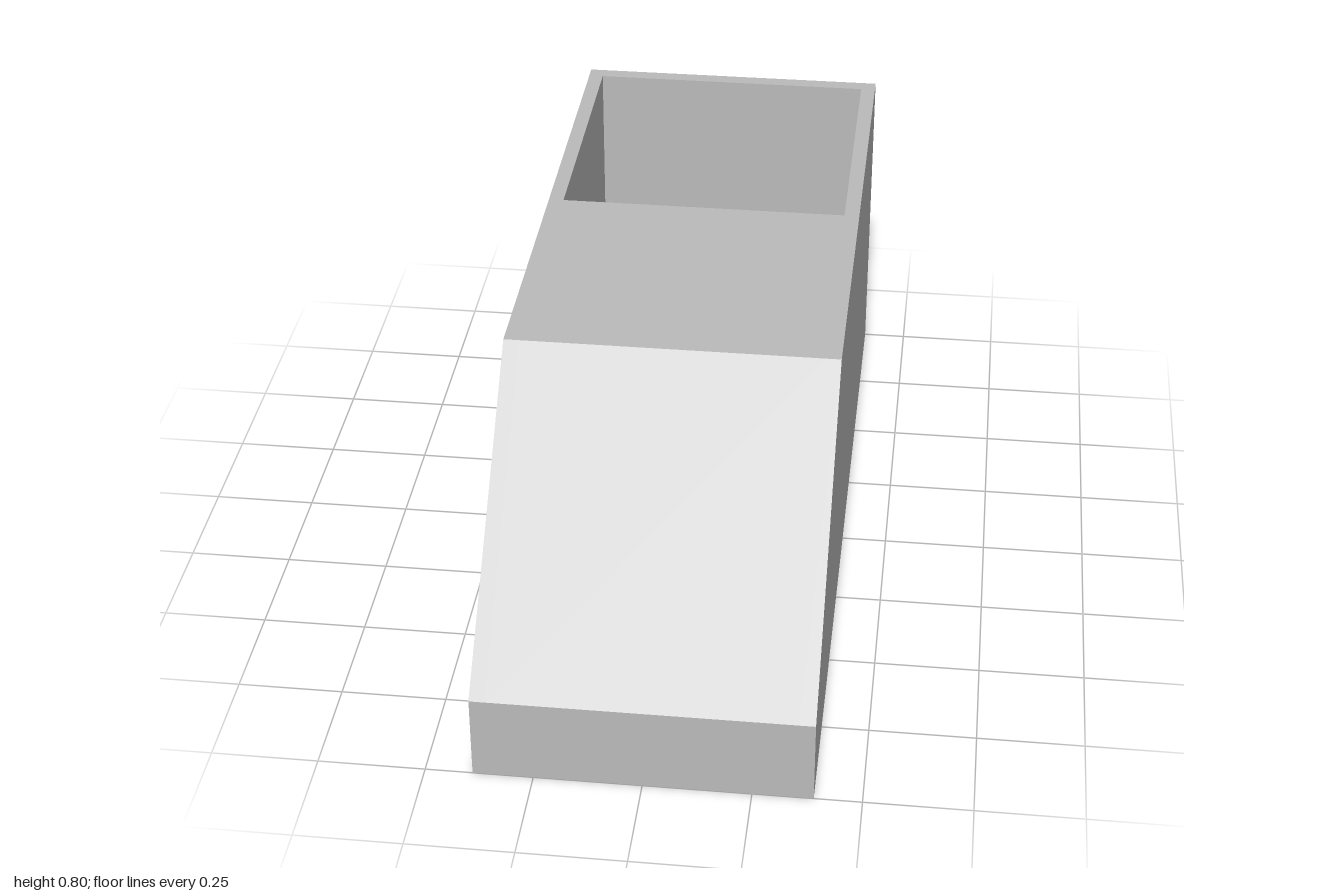
import * as THREE from 'three';

const HALF = 0.39;   // half the overall width
const T = 0.037;     // wall thickness

// Extrudes a (z, y) side profile across x, centred on x = cx.
function slab(name, points, width, cx, material) {
  const shape = new THREE.Shape(points.map(([z, y]) => new THREE.Vector2(z, y)));
  const geometry = new THREE.ExtrudeGeometry(shape, { depth: width, bevelEnabled: false });
  geometry.rotateY(-Math.PI / 2).translate(cx + width / 2, 0, 0);
  const mesh = new THREE.Mesh(geometry, material);
  mesh.name = name;
  return mesh;
}

export function createModel() {
  const group = new THREE.Group();
  group.name = 'hopperBin';
  const grey = new THREE.MeshStandardMaterial({ color: 0xbbbbbb });
  grey.name = 'light grey';
  const inner = 2 * (HALF - T);

  // Side walls with the sloped front corner
  const side = [[-1, 0], [1, 0], [1, 0.21], [0.41, 0.8], [-1, 0.8]];
  for (const s of [-1, 1]) {
    group.add(slab(s > 0 ? 'leftWall' : 'rightWall', side, T, s * (HALF - T / 2), grey));
  }

  // Roof, slope and front as one bent shell; the roof stops at the filling opening
  const bend = T * Math.tan(Math.PI / 8);
  group.add(slab('frontShell', [
    [-0.26, 0.8], [-0.26, 0.8 - T], [0.41 - bend, 0.8 - T],
    [1 - T, 0.21 - bend], [0.962, 0.09], [0.963, 0],
    [1, 0], [1, 0.21], [0.41, 0.8],
  ], inner, 0, grey));

  // Raised back panel and floor; the floor leaves an outlet gap at the front
  group.add(slab('backAndFloor', [
    [-1, 0.8], [-1, 0.1], [0.685, 0.1], [0.685, 0.1 + T],
    [-1 + T, 0.1 + T], [-1 + T, 0.8],
  ], inner, 0, grey));

  return group;
}
